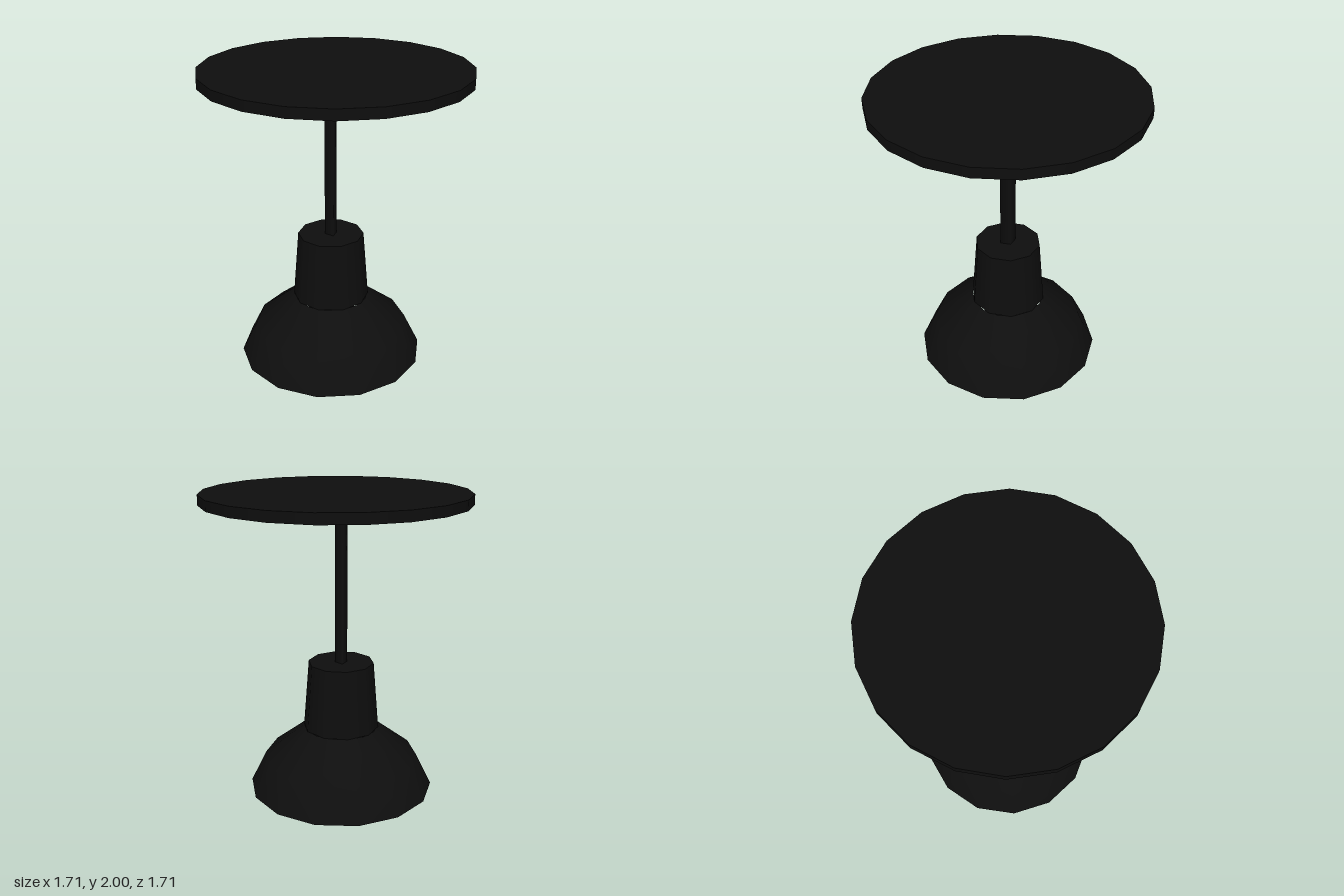
import * as THREE from 'three';

export function createModel() {
  const model = new THREE.Group();
  model.name = 'pendantLamp';
  const black = new THREE.MeshStandardMaterial({ color: 0x0e0e0e, side: THREE.DoubleSide });
  black.name = 'black';

  const add = (name, geometry, y, parent) => {
    const mesh = new THREE.Mesh(geometry, black);
    mesh.name = name;
    mesh.position.y = y;
    parent.add(mesh);
    return mesh;
  };

  // Ceiling disc
  add('ceilingPlate', new THREE.CylinderGeometry(0.857, 0.857, 0.066, 20), 1.967, model);

  // Hanging parts sit slightly off the disc's centre
  const pendant = new THREE.Group();
  pendant.name = 'pendant';
  pendant.position.set(-0.032, 0, -0.012);
  model.add(pendant);

  // Slim four-sided rod
  const rod = add('rod', new THREE.CylinderGeometry(0.0545, 0.0545, 1.08, 4), 1.4, pendant);
  rod.scale.x = 0.75;

  // Tapered socket housing
  add('socket', new THREE.CylinderGeometry(0.2175, 0.2535, 0.455, 10), 0.6525, pendant);

  // Open flared shade
  const profile = [[0.62, 0], [0.515, 0.215], [0.248, 0.425]].map(([r, y]) => new THREE.Vector2(r, y));
  add('shade', new THREE.LatheGeometry(profile, 14), 0, pendant);

  // Bulb inside the shade
  add('bulb', new THREE.SphereGeometry(0.165, 16, 12), 0.26, pendant);

  return model;
}
